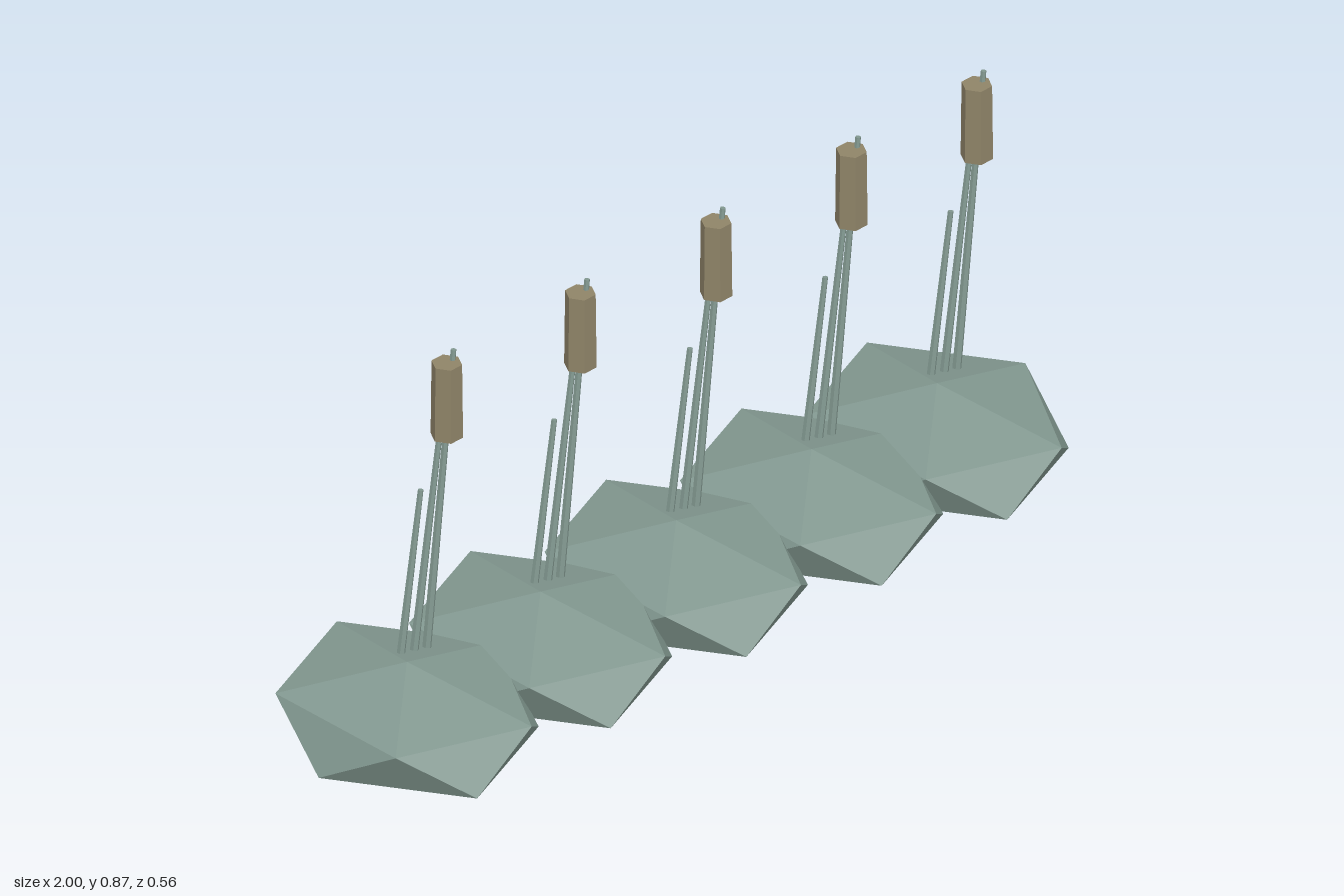
import * as THREE from 'three';
import { ConvexGeometry } from 'three/addons/geometries/ConvexGeometry.js';

// Faceted lily-pad mound: two poles and two staggered five-point rings.
function moundGeometry() {
  const points = [new THREE.Vector3(0, 0.233, 0), new THREE.Vector3(0, 0.003, 0)];
  for (let i = 0; i < 10; i++) {
    const a = (i * Math.PI) / 5;
    points.push(new THREE.Vector3(0.25 * Math.cos(a), i % 2 ? 0.067 : 0.17, 0.294 * Math.sin(a)));
  }
  return new ConvexGeometry(points);
}

// Tapered six-sided stem between two points in the plane z = stemZ.
const stemZ = -0.052;
function stem(x0, y0, x1, y1, material) {
  const length = Math.hypot(x1 - x0, y1 - y0);
  const mesh = new THREE.Mesh(new THREE.CylinderGeometry(0.006, 0.0105, length, 6), material);
  mesh.position.set((x0 + x1) / 2, (y0 + y1) / 2, stemZ);
  mesh.rotation.z = -Math.atan2(x1 - x0, y1 - y0);
  mesh.name = 'stem';
  return mesh;
}

export function createModel() {
  const green = new THREE.MeshStandardMaterial({ color: 0x829890, flatShading: true });
  green.name = 'grey green';
  const brown = new THREE.MeshStandardMaterial({ color: 0x8f8468, flatShading: true });
  brown.name = 'seed head brown';

  const model = new THREE.Group();
  model.name = 'reedRow';
  const mound = moundGeometry();
  const headGeometry = new THREE.CylinderGeometry(0.032, 0.034, 0.173, 6);
  headGeometry.rotateY(Math.PI / 6 + Math.PI / 3);

  [-0.75, -0.372, 0.012, 0.395, 0.75].forEach((x) => {
    const clump = new THREE.Group();
    clump.name = 'reedClump';
    clump.position.x = x;

    const base = new THREE.Mesh(mound, green);
    base.name = 'mound';
    clump.add(base);

    // Three leaning stems, tallest on the model's left
    clump.add(stem(0.003, 0.012, 0.09, 0.58, green));
    clump.add(stem(0.043, 0.012, 0.148, 0.72, green));
    clump.add(stem(0.086, 0.008, 0.183, 0.873, green));

    // Upright hexagonal seed head
    const head = new THREE.Mesh(headGeometry, brown);
    head.name = 'seedHead';
    head.position.set(0.164, 0.7635, stemZ);
    clump.add(head);

    model.add(clump);
  });
  return model;
}
